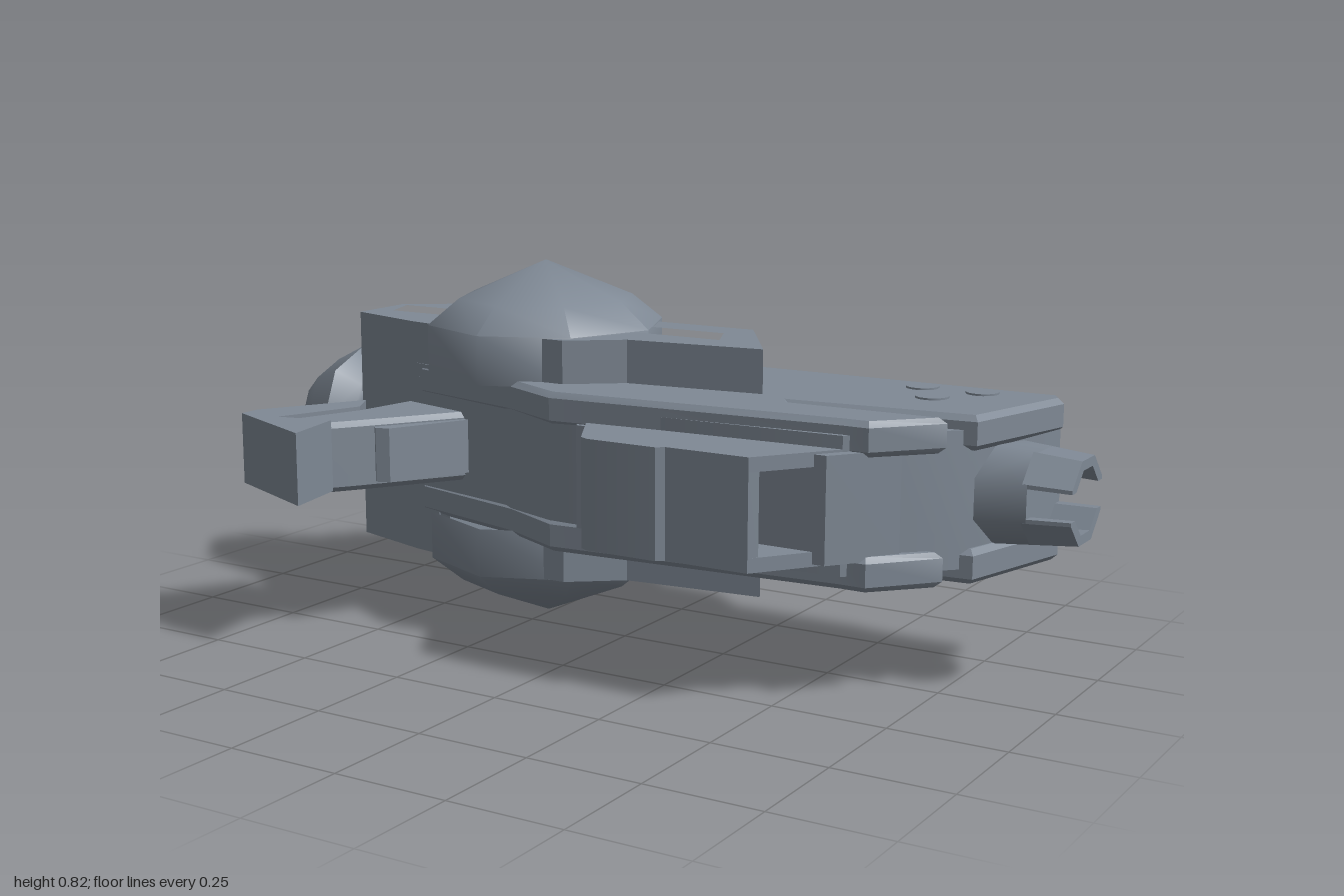
import * as THREE from 'three';
import { toCreasedNormals } from 'three/addons/utils/BufferGeometryUtils.js';

const MID = 0.412; // height of the mirror plane; the body lies on its side

export function createModel() {
  const root = new THREE.Group();
  root.name = 'blaster';
  const metal = new THREE.MeshStandardMaterial({ color: 0x7f8995 });
  metal.name = 'steel grey';

  const add = (name, geo, crease = 0.5) => {
    const mesh = new THREE.Mesh(toCreasedNormals(geo, crease), metal);
    mesh.name = name;
    root.add(mesh);
    return mesh;
  };

  // Outline given as [x, z], extruded upwards between two offsets from MID
  const toVec = ([x, z]) => new THREE.Vector2(x, -z);
  const slab = (name, pts, lo, hi, bevel = 0, hole = null) => {
    const shape = new THREE.Shape(pts.map(toVec));
    if (hole) shape.holes.push(new THREE.Path(hole.map(toVec)));
    const geo = new THREE.ExtrudeGeometry(shape, {
      depth: hi - lo - 2 * bevel, bevelEnabled: bevel > 0, bevelThickness: bevel,
      bevelSize: bevel, bevelOffset: -bevel, bevelSegments: 1,
    });
    geo.rotateX(-Math.PI / 2);
    geo.translate(0, MID + lo + bevel, 0);
    add(name, geo);
  };
  const sides = (name, pts, lo, hi, bevel = 0, hole = null) => {
    slab(name + 'Upper', pts, lo, hi, bevel, hole);
    slab(name + 'Lower', pts, -hi, -lo, bevel, hole);
  };

  // Turned part along x, profile given as [x, radius]
  const turned = (name, profile, z, turn = 0) => {
    const geo = new THREE.LatheGeometry(profile.map(([x, r]) => new THREE.Vector2(r, x)), 8);
    geo.rotateY(turn);
    geo.rotateZ(-Math.PI / 2);
    geo.translate(0, MID, z);
    add(name, geo, 0.95);
  };

  // Receiver core and lower keel
  slab('bodyCore', [[-0.73, -0.31], [0.87, -0.31], [0.885, -0.28], [0.8, -0.01], [0.61, 0.18],
    [-0.05, 0.215], [-0.22, 0.14], [-0.53, 0.06], [-0.73, 0]], -0.142, 0.142);
  slab('keel', [[-0.02, 0.1], [0.7, 0.1], [0.6, 0.23], [0.02, 0.225]], -0.11, 0.11);

  // Outer side panels, separated by a tapering groove
  sides('barrelPanel', [[-0.5, -0.31], [0.87, -0.315], [0.89, -0.28], [0.815, 0], [0.42, 0.04],
    [-0.5, 0.04]], 0.1, 0.172, 0.012);
  sides('bellyPanel', [[-0.5, 0], [0.4, 0], [0.43, 0.05], [0.77, 0.045], [0.66, 0.17],
    [0.6, 0.17], [-0.05, 0.222], [-0.2, 0.15], [-0.5, 0.07]], 0.1, 0.172, 0.012);
  sides('rearPanel', [[-0.73, -0.3], [-0.45, -0.3], [-0.45, 0.08], [-0.53, 0.06], [-0.73, 0]], 0.1, 0.172);

  // Side brackets with sunken windows
  const frontBracket = [[-0.25, -0.23], [0.19, -0.23], [0.34, 0.005], [0.03, 0.04], [-0.08, 0.125], [-0.25, 0.125]];
  const rearBracket = [[-0.73, -0.16], [-0.66, -0.2], [-0.58, -0.29], [-0.42, -0.29], [-0.42, 0.08],
    [-0.53, 0.06], [-0.73, 0]];
  sides('frontBracketBase', frontBracket, 0.165, 0.215);
  sides('frontBracketRim', frontBracket, 0.215, 0.266, 0,
    [[-0.12, -0.15], [0.16, -0.15], [0.2, -0.06], [-0.12, -0.06]]);
  sides('rearBracketBase', rearBracket, 0.165, 0.215);
  sides('rearBracketRim', rearBracket, 0.215, 0.266, 0,
    [[-0.71, -0.15], [-0.5, -0.15], [-0.5, -0.06], [-0.68, -0.06]]);

  // Faceted domes on both sides
  for (const s of [1, -1]) {
    const profile = [[0.27, 0.16], [0.27, 0.268], [0.2, 0.325], [0.001, 0.408]];
    const geo = new THREE.LatheGeometry(profile.map(([r, y]) => new THREE.Vector2(r, y)), 8);
    if (s < 0) geo.rotateX(Math.PI);
    geo.translate(-0.265, MID, -0.09);
    add(s > 0 ? 'domeUpper' : 'domeLower', geo, 1.0);
  }

  // Tank with clamp ring, rear block and forward fairing
  turned('tank', [[-0.5, 0.001], [-0.5, 0.145], [-0.475, 0.172], [0.06, 0.172], [0.09, 0.145], [0.09, 0.001]], -0.32);
  turned('clampRing', [[-0.325, 0.15], [-0.325, 0.19], [-0.31, 0.2], [-0.21, 0.2], [-0.195, 0.19], [-0.195, 0.15]], -0.32);
  slab('rearBlock', [[-0.73, -0.2], [-0.73, -0.33], [-0.61, -0.485], [-0.525, -0.485], [-0.51, -0.46], [-0.51, -0.2]],
    -0.15, 0.15, 0.04);
  slab('tankFairing', [[0.05, -0.28], [0.05, -0.415], [0.26, -0.4], [0.365, -0.32], [0.365, -0.28]], -0.11, 0.11, 0.015);

  // Rear knob on its stem
  turned('knobStem', [[-0.82, 0.048], [-0.7, 0.048]], -0.155);
  turned('knob', [[-1, 0.001], [-1, 0.05], [-0.93, 0.115], [-0.85, 0.155], [-0.8, 0.105], [-0.79, 0.085], [-0.79, 0.001]], -0.155);

  // Grip and trigger
  slab('grip', [[-0.55, 0.02], [-0.34, 0.08], [-0.49, 0.31], [-0.56, 0.41], [-0.65, 0.39], [-0.58, 0.2]],
    -0.075, 0.08, 0.012);
  slab('gripBack', [[-0.615, 0.13], [-0.575, 0.2], [-0.65, 0.39], [-0.525, 0.36], [-0.495, 0.51],
    [-0.745, 0.4], [-0.745, 0.35]], -0.07, 0.087);
  slab('trigger', [[-0.5, 0.08], [-0.33, 0.08], [-0.43, 0.28], [-0.46, 0.29], [-0.5, 0.25]], -0.055, 0.065);

  // Fore grip: hollow at its sloping front end
  const foreGrip = [[0.03, 0.2], [0.11, 0.345], [0.13, 0.355], [0.29, 0.355], [0.305, 0.342], [0.49, 0.342], [0.61, 0.18]];
  sides('foreGripCheek', foreGrip, 0.085, 0.115);
  slab('foreGripCore', [[0.03, 0.2], [0.11, 0.345], [0.13, 0.355], [0.29, 0.355], [0.305, 0.342],
    [0.42, 0.342], [0.42, 0.2]], -0.09, 0.09);
  slab('foreGripFloor', [[0.4, 0.322], [0.4, 0.342], [0.49, 0.342], [0.503, 0.322]], -0.09, 0.09);

  // Muzzle collar and slotted prongs
  turned('muzzleCollar', [[0.74, 0.112], [0.8, 0.112], [0.91, 0.102], [0.91, 0.001]], -0.125, Math.PI / 8);
  const prong = [[0.098, 0.032], [0.098, 0.041], [0.041, 0.098], [-0.041, 0.098], [-0.098, 0.041], [-0.098, 0.032],
    [-0.073, 0.032], [-0.03, 0.075], [0.03, 0.075], [0.073, 0.032]];
  for (const s of [1, -1]) {
    const shape = new THREE.Shape(prong.map(([a, b]) => new THREE.Vector2(a, s * b)));
    const geo = new THREE.ExtrudeGeometry(shape, { depth: 0.1, bevelEnabled: false });
    const p = geo.attributes.position;
    for (let i = 0; i < p.count; i++) {
      const k = 0.97 - p.getZ(i) * 0.9; // taper towards the tip
      p.setXY(i, p.getX(i) * k, p.getY(i) * k);
    }
    geo.rotateY(Math.PI / 2);
    geo.translate(0.9, MID, -0.125);
    add(s > 0 ? 'muzzleProngUpper' : 'muzzleProngLower', geo);
  }

  // Rivets on both flanks
  for (const [x, z] of [[0.59, -0.245], [0.725, -0.245], [0.655, -0.145]]) {
    for (const s of [1, -1]) {
      const geo = new THREE.CylinderGeometry(0.035, 0.035, 0.008, 16);
      geo.translate(x, MID + s * 0.172, z);
      add('rivet', geo);
    }
  }
  return root;
}
